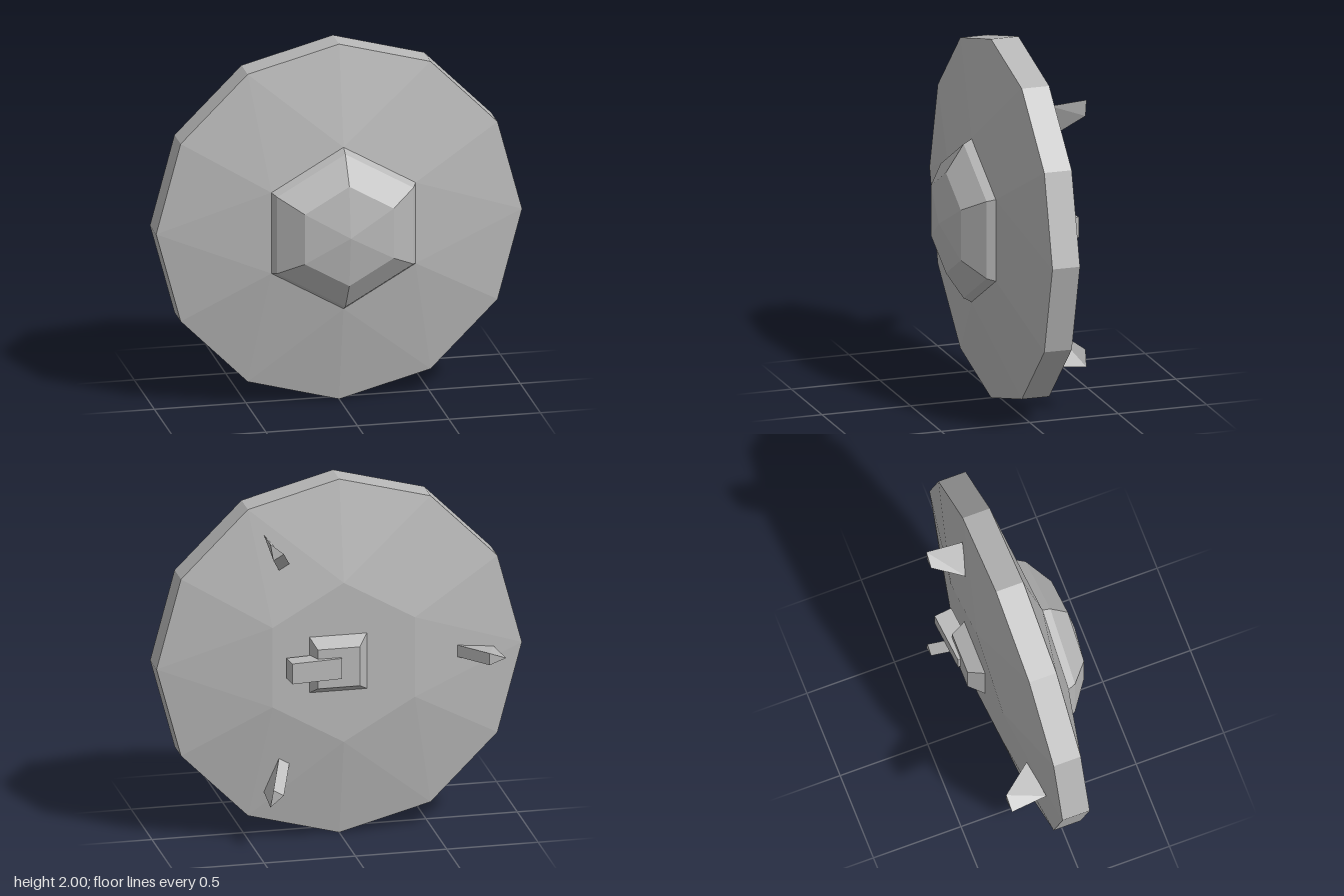
import * as THREE from 'three';

const grey = new THREE.MeshStandardMaterial({ color: 0xb8b8b8, flatShading: true });
grey.name = 'hull grey';

// Solid from triangles, each a list of three points
function facets(name, tris) {
  const geo = new THREE.BufferGeometry();
  geo.setAttribute('position', new THREE.Float32BufferAttribute(tris.flat(2), 3));
  geo.computeVertexNormals();
  const mesh = new THREE.Mesh(geo, grey);
  mesh.name = name;
  return mesh;
}

// Twelve points round the z axis; a hexagonal ring has its odd points on the middle of its sides
function ring({ r, z, hex }) {
  return Array.from({ length: 12 }, (_, i) => {
    const a = Math.PI / 2 + (i * Math.PI) / 6;
    const k = hex && i % 2 ? r * Math.cos(Math.PI / 6) : r;
    return [k * Math.cos(a), k * Math.sin(a), z];
  });
}

// Skin between rings listed from back to front
function loft(name, profile) {
  const tris = [];
  for (let j = 0; j < profile.length - 1; j++) {
    const A = ring(profile[j]), B = ring(profile[j + 1]);
    for (let i = 0; i < 12; i++) {
      const n = (i + 1) % 12;
      if (profile[j].r === 0) tris.push([A[i], B[n], B[i]]);
      else if (profile[j + 1].r === 0) tris.push([A[i], A[n], B[i]]);
      else if ((i % 2 === 0) !== !!profile[j].hex) tris.push([A[i], A[n], B[i]], [A[n], B[n], B[i]]);
      else tris.push([A[i], A[n], B[n]], [A[i], B[n], B[i]]);
    }
  }
  return facets(name, tris);
}

// Three-sided leg: flat inner face, sharp outer edge, cut off at the back
function leg() {
  const w = 0.033;
  const [a, b, c] = [[0.63, -w, -0.172], [0.63, w, -0.172], [0.84, 0, -0.142]];
  const [d, e, f] = [[0.77, -w, -0.345], [0.77, w, -0.345], [0.86, 0, -0.345]];
  return facets('landingLeg', [
    [a, c, b], [d, e, f],
    [a, b, e], [a, e, d],
    [b, c, f], [b, f, e],
    [c, a, d], [c, d, f],
  ]);
}

export function createModel() {
  const model = new THREE.Group();
  model.name = 'saucer';
  const body = new THREE.Group();
  body.name = 'body';
  body.position.y = 1;
  model.add(body);

  // Twelve-sided disc narrowing to a hexagon on both faces
  body.add(loft('disc', [
    { r: 0, z: -0.22, hex: true },
    { r: 0.45, z: -0.22, hex: true },
    { r: 1, z: -0.11 },
    { r: 1, z: 0.045 },
    { r: 0.455, z: 0.155, hex: true },
    { r: 0, z: 0.155, hex: true },
  ]));

  // Hexagonal dome on the front
  body.add(loft('dome', [
    { r: 0.455, z: 0.155, hex: true },
    { r: 0.43, z: 0.2, hex: true },
    { r: 0.28, z: 0.3, hex: true },
    { r: 0, z: 0.34, hex: true },
  ]));

  // Tapered turret block on the back
  const blockGeo = new THREE.BoxGeometry(1, 1, 1);
  const p = blockGeo.attributes.position;
  for (let i = 0; i < p.count; i++) {
    const [x0, x1, h, z] = p.getZ(i) < 0 ? [-0.07, 0.16, 0.11, -0.3] : [-0.13, 0.19, 0.16, -0.215];
    p.setXYZ(i, p.getX(i) < 0 ? x0 : x1, p.getY(i) < 0 ? -h : h, z);
  }
  blockGeo.computeVertexNormals();
  const block = new THREE.Mesh(blockGeo, grey);
  block.name = 'turretBlock';
  body.add(block);

  // Slanted barrel
  const barrel = new THREE.Mesh(new THREE.BoxGeometry(0.28, 0.115, 0.1), grey);
  barrel.name = 'turretBarrel';
  barrel.position.set(0.175, 0, -0.28);
  barrel.rotation.y = 0.1;
  body.add(barrel);

  // Three legs round the back
  for (let i = 0; i < 3; i++) {
    const l = leg();
    l.rotation.z = Math.PI / 3 + (i * 2 * Math.PI) / 3;
    body.add(l);
  }
  return model;
}
